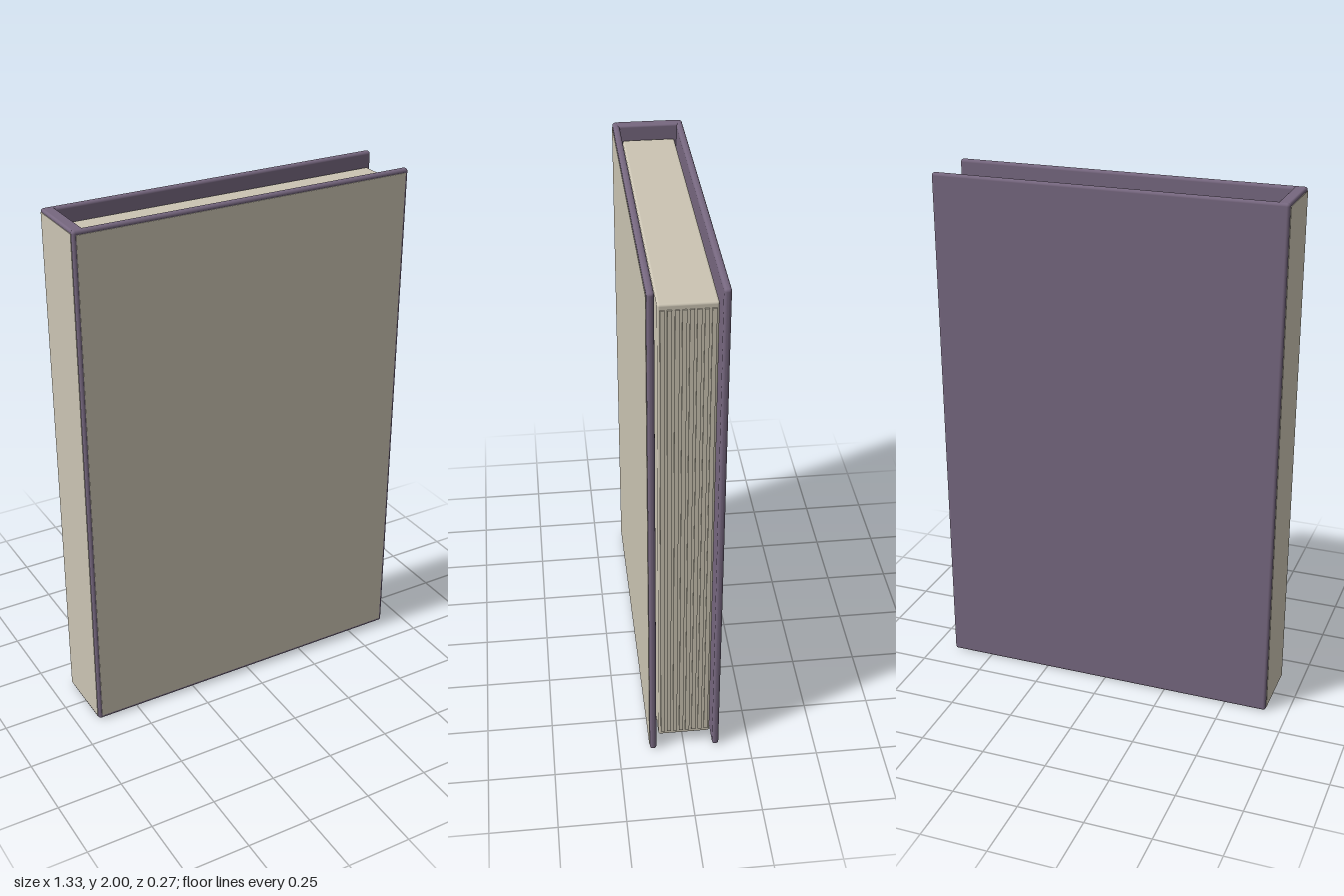
import * as THREE from 'three';
import { RoundedBoxGeometry } from 'three/addons/geometries/RoundedBoxGeometry.js';

export function createModel() {
  const book = new THREE.Group();
  book.name = 'book';

  const cloth = new THREE.MeshStandardMaterial({ color: 0x76677f });
  cloth.name = 'purpleCloth';
  const paper = new THREE.MeshStandardMaterial({ color: 0xcbc4b3 });
  paper.name = 'creamPaper';

  // Rounded box given by its min and max corners; radius 0 gives a plain box
  function block(name, min, max, radius, material) {
    const size = max.map((v, i) => v - min[i]);
    const geometry = radius
      ? new RoundedBoxGeometry(...size, 3, radius)
      : new THREE.BoxGeometry(...size);
    const mesh = new THREE.Mesh(geometry, material);
    mesh.name = name;
    mesh.position.set(...max.map((v, i) => (v + min[i]) / 2));
    book.add(mesh);
  }

  // Hard covers and spine
  block('frontCover', [-0.665, 0, 0.106], [0.665, 2, 0.131], 0.011, cloth);
  block('backCover', [-0.665, 0, -0.134], [0.665, 2, -0.109], 0.011, cloth);
  block('spine', [-0.665, 0, -0.122], [-0.62, 2, 0.119], 0.008, cloth);

  // Pale panels on the front cover and the spine
  block('frontPanel', [-0.652, 0.015, 0.128], [0.652, 1.985, 0.133], 0, paper);
  block('spinePanel', [-0.667, 0.012, -0.123], [-0.662, 1.988, 0.12], 0, paper);

  // Page block
  block('pageBlock', [-0.615, 0.055, -0.1], [0.642, 1.945, 0.096], 0.008, paper);

  // Raised page ridges along the fore edge
  const ridges = 8;
  for (let i = 0; i < ridges; i++) {
    const z = -0.002 + (i - (ridges - 1) / 2) * 0.0235;
    block('pageRidge', [0.636, 0.075, z - 0.0075], [0.647, 1.925, z + 0.0075], 0, paper);
  }

  return book;
}
